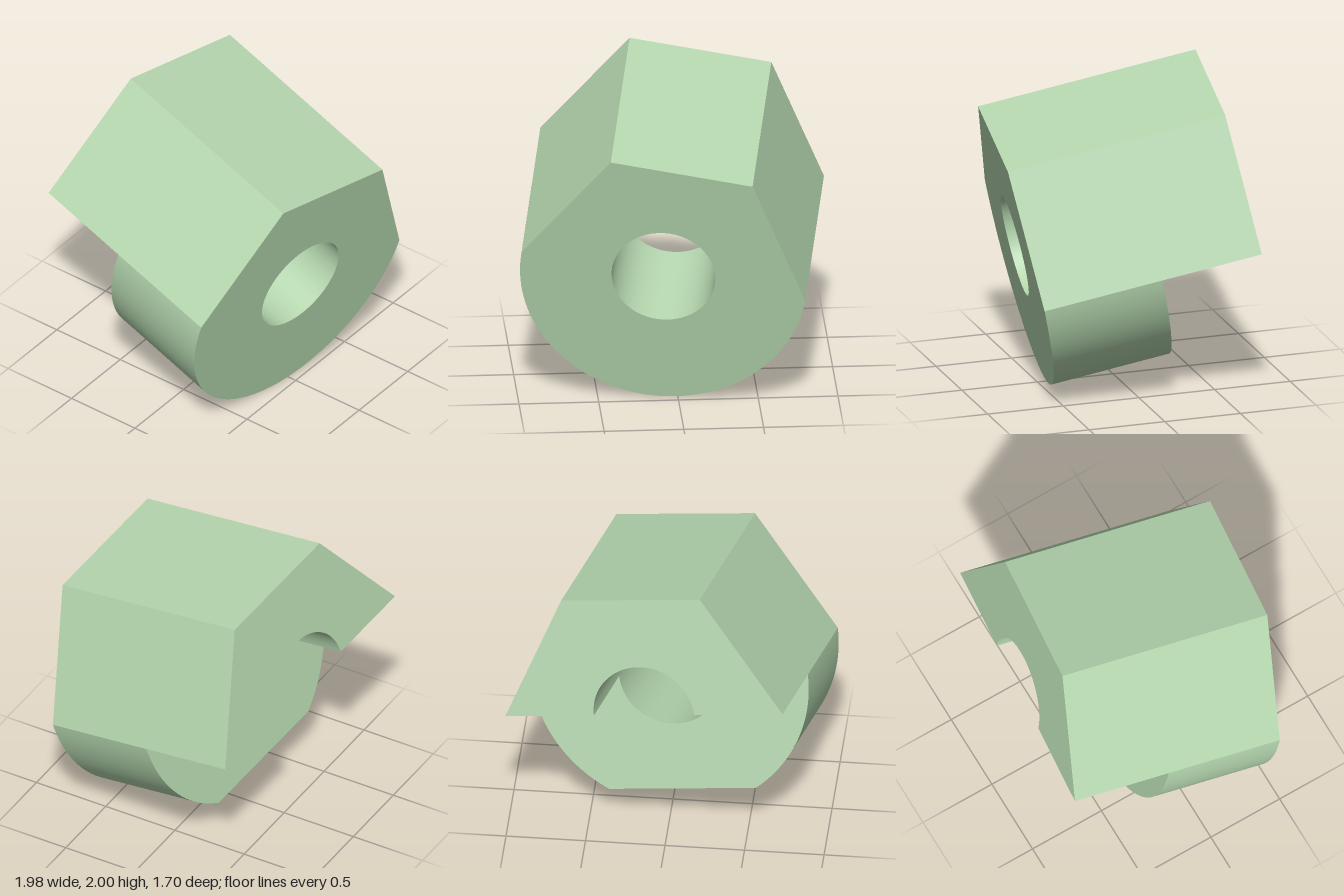
import * as THREE from 'three';
import { mergeGeometries } from 'three/addons/utils/BufferGeometryUtils.js';

const R = 0.9, BORE = 0.325;              // outer and bore radius
const FULL = 1.412, LOW = 0.766, NOTCH = 0.383; // depths behind the front face
const PHI = Math.asin(0.764 / R);         // angle where the bottom flat meets the round
const PI = Math.PI;

function arc(r, a0, a1, n = 48) {
  return Array.from({ length: n + 1 }, (_, i) => {
    const a = a0 + (a1 - a0) * i / n;
    return new THREE.Vector2(r * Math.cos(a), r * Math.sin(a));
  });
}

// Strip along a path between two depths; it faces right of the direction of travel
function wall(points, t0, t1) {
  const pos = [], index = [];
  points.forEach((p, i) => {
    pos.push(p.x, p.y, -t0, p.x, p.y, -t1);
    if (i) {
      const a = 2 * i - 2;
      index.push(a + 1, a + 3, a + 2, a + 1, a + 2, a);
    }
  });
  const g = new THREE.BufferGeometry();
  g.setAttribute('position', new THREE.Float32BufferAttribute(pos, 3));
  g.setIndex(index);
  g.computeVertexNormals();
  return g;
}

// Flat end face; profiles are symmetric, so a half turn makes it face back
function cap(points, t, back, hole) {
  const shape = new THREE.Shape(points);
  if (hole) shape.holes.push(new THREE.Path(hole));
  const g = new THREE.ShapeGeometry(shape);
  g.deleteAttribute('uv');
  if (back) g.rotateY(PI);
  return g.translate(0, 0, -t);
}

export function createModel() {
  const v = (x, y) => new THREE.Vector2(x, y);
  const h = R * Math.sqrt(3) / 2;
  const hex = [v(R, 0), v(R / 2, h), v(-R / 2, h), v(-R, 0)];
  const leftArc = arc(R, PI, PI + PHI);
  const bottomArc = arc(R, PI + PHI, 2 * PI - PHI);
  const rightArc = arc(R, 2 * PI - PHI, 2 * PI);
  const boreTop = arc(BORE, PI, 0);
  const boreBottom = arc(BORE, 2 * PI, PI);
  const round = [...leftArc, ...bottomArc.slice(1), ...rightArc.slice(1)];

  const faces = [
    // front face with the bore opening
    cap([...hex, ...round.slice(1, -1)], 0, false, [...boreBottom, ...boreTop.slice(1, -1)]),
    // rear of the upper half
    cap([...hex, ...boreTop], FULL, true),
    // rear of the lower half
    cap([...leftArc, ...rightArc, ...boreBottom], LOW, true),
    // end wall of the bottom flat
    cap(bottomArc, NOTCH, true),
    // round underside
    wall(leftArc, 0, LOW),
    wall(bottomArc, 0, NOTCH),
    wall(rightArc, 0, LOW),
    // bottom flat
    wall([bottomArc[0], bottomArc[bottomArc.length - 1]], NOTCH, LOW),
    // underside of the overhanging upper half
    wall([v(-R, 0), v(-BORE, 0)], LOW, FULL),
    wall([v(BORE, 0), v(R, 0)], LOW, FULL),
    // bore, open below behind the step
    wall(boreBottom, 0, LOW),
    wall(boreTop, 0, FULL),
  ];
  // three hexagon sides
  for (let i = 0; i < 3; i++) faces.push(wall([hex[i], hex[i + 1]], 0, FULL));

  const body = new THREE.Mesh(
    mergeGeometries(faces),
    new THREE.MeshStandardMaterial({ color: 0xb4d6ae })
  );
  body.name = 'steppedBoredBlock';

  // tilt of the whole part
  const forward = new THREE.Vector3(-0.1487, -0.2089, 0.9667).normalize();
  const up = new THREE.Vector3().crossVectors(forward, new THREE.Vector3(0.98, -0.1615, 0.117)).normalize();
  const side = new THREE.Vector3().crossVectors(up, forward);
  body.quaternion.setFromRotationMatrix(new THREE.Matrix4().makeBasis(side, up, forward));
  body.position.set(-0.1025, 0.88, 0.615);

  const group = new THREE.Group();
  group.name = 'model';
  group.add(body);
  return group;
}
